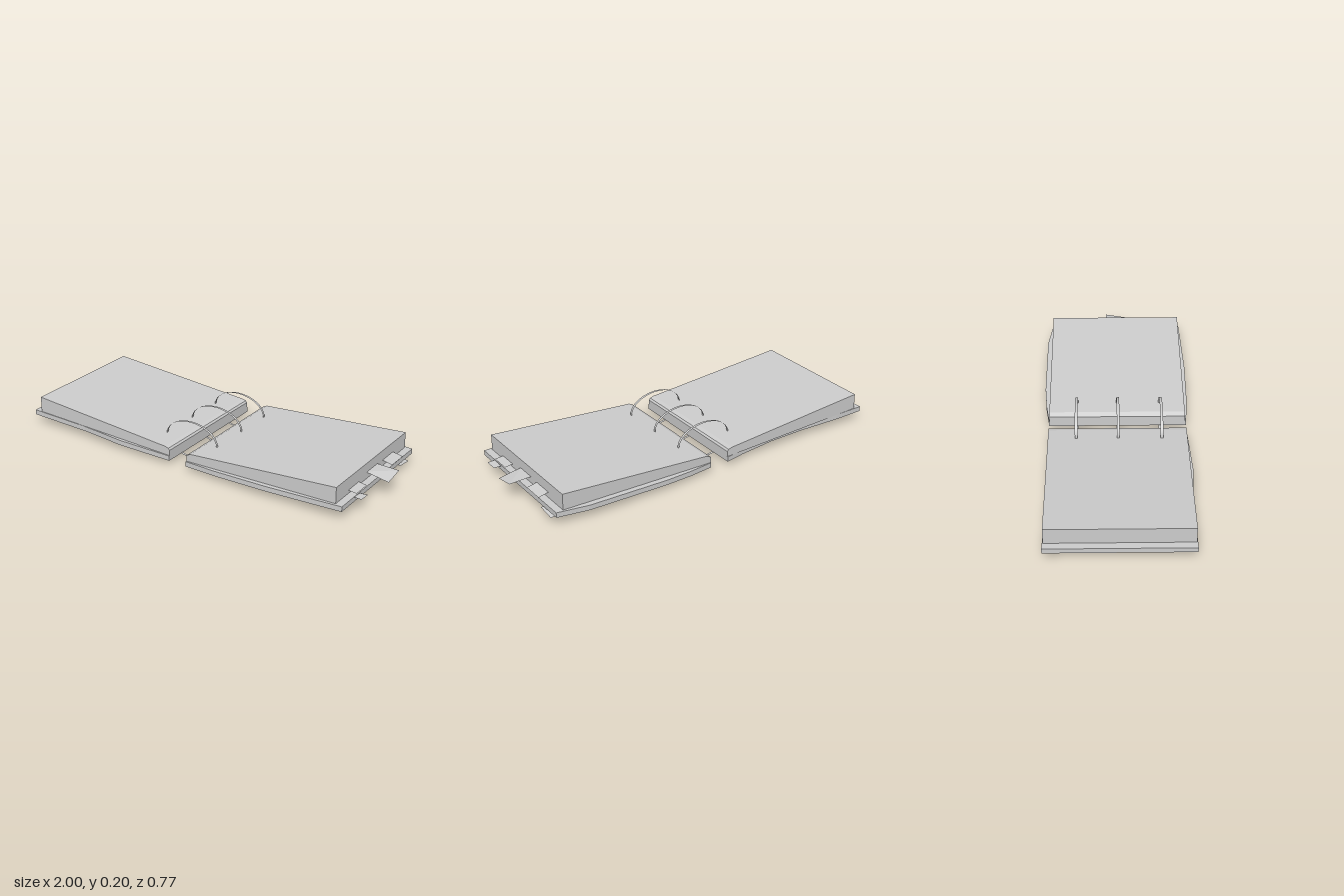
import * as THREE from 'three';

const grey = new THREE.MeshStandardMaterial({ color: 0xcccccc, side: THREE.DoubleSide });
grey.name = 'grey';

function add(group, name, geometry) {
  const mesh = new THREE.Mesh(geometry, grey);
  mesh.name = name;
  group.add(mesh);
  return mesh;
}

// Warped board: an [x, z] outline extruded upwards, then sloped along x
function board(outline, thickness, xInner, xOuter, yInner, yOuter) {
  const shape = new THREE.Shape(outline.map(([x, z]) => new THREE.Vector2(x, -z)));
  const g = new THREE.ExtrudeGeometry(shape, { depth: thickness, bevelEnabled: false });
  g.rotateX(-Math.PI / 2);
  const p = g.attributes.position;
  for (let i = 0; i < p.count; i++) {
    const t = (p.getX(i) - xInner) / (xOuter - xInner);
    p.setY(i, p.getY(i) + yInner + t * (yOuter - yInner));
  }
  g.computeVertexNormals();
  return g;
}

// Page block: an [x, y] profile extruded along z
function pageBlock(profile) {
  const shape = new THREE.Shape(profile.map(([x, y]) => new THREE.Vector2(x, y)));
  const g = new THREE.ExtrudeGeometry(shape, { depth: 0.72, bevelEnabled: false });
  return g.translate(0, 0, -0.36);
}

// Single paper quad, corners in order around the sheet
function sheet(corners) {
  const g = new THREE.BufferGeometry();
  const order = [0, 1, 2, 0, 2, 3];
  g.setAttribute('position', new THREE.Float32BufferAttribute(order.flatMap(i => corners[i]), 3));
  g.computeVertexNormals();
  return g;
}

export function createModel() {
  const model = new THREE.Group();
  model.name = 'openBinder';

  // Covers with bent edges
  add(model, 'leftHalfCover', board([
    [0.92, -0.365], [0.92, 0.372], [0.75, 0.378], [0.5, 0.385], [0.2, 0.38], [0.015, 0.367],
    [0.015, -0.362], [0.15, -0.38], [0.3, -0.39], [0.75, -0.39],
  ], 0.027, 0.015, 0.92, 0.024, 0.049));
  add(model, 'rightHalfCover', board([
    [-1, -0.365], [-0.84, -0.36], [-0.6, -0.34], [-0.4, -0.335], [-0.2, -0.35], [-0.09, -0.365],
    [-0.09, 0.365], [-0.2, 0.37], [-0.4, 0.378], [-0.65, 0.362], [-1, 0.365],
  ], 0.027, -0.09, -1, 0.025, 0.051));

  // Page blocks, chamfered beside the rings
  add(model, 'leftPages', pageBlock([
    [0.015, 0.05], [0.88, 0.074], [0.88, 0.161], [0.04, 0.096], [0.015, 0.083],
  ]));
  add(model, 'rightPages', pageBlock([
    [-0.96, 0.076], [-0.09, 0.051], [-0.09, 0.082], [-0.098, 0.092], [-0.12, 0.098], [-0.96, 0.162],
  ]));

  // Flat oval ribbon rings
  for (const z of [-0.214, 0.003, 0.228]) {
    const g = new THREE.CylinderGeometry(1, 1, 0.014, 40, 1, true);
    g.rotateX(Math.PI / 2).scale(0.157, 0.101, 1).translate(-0.043, 0.101, z);
    add(model, 'ring', g);
  }

  // Paper markers sticking out of the outer edge
  const markers = [
    [[0.87, 0.108, -0.11], [0.87, 0.108, -0.225], [0.935, 0.095, -0.225], [0.935, 0.095, -0.11]],
    [[0.87, 0.111, 0.055], [0.87, 0.111, -0.055], [1, 0.108, -0.055], [1, 0.089, 0.055]],
    [[0.87, 0.094, 0.24], [0.87, 0.094, 0.135], [0.925, 0.088, 0.135], [0.925, 0.088, 0.24]],
    [[0.86, 0.076, 0.255], [0.86, 0.064, 0.19], [0.96, 0.07, 0.19], [0.96, 0.073, 0.255]],
    [[0.82, 0.047, -0.225], [0.82, 0.044, -0.32], [0.925, 0.026, -0.32], [0.925, 0.038, -0.225]],
  ];
  markers.forEach(corners => add(model, 'paperMarker', sheet(corners)));

  return model;
}
